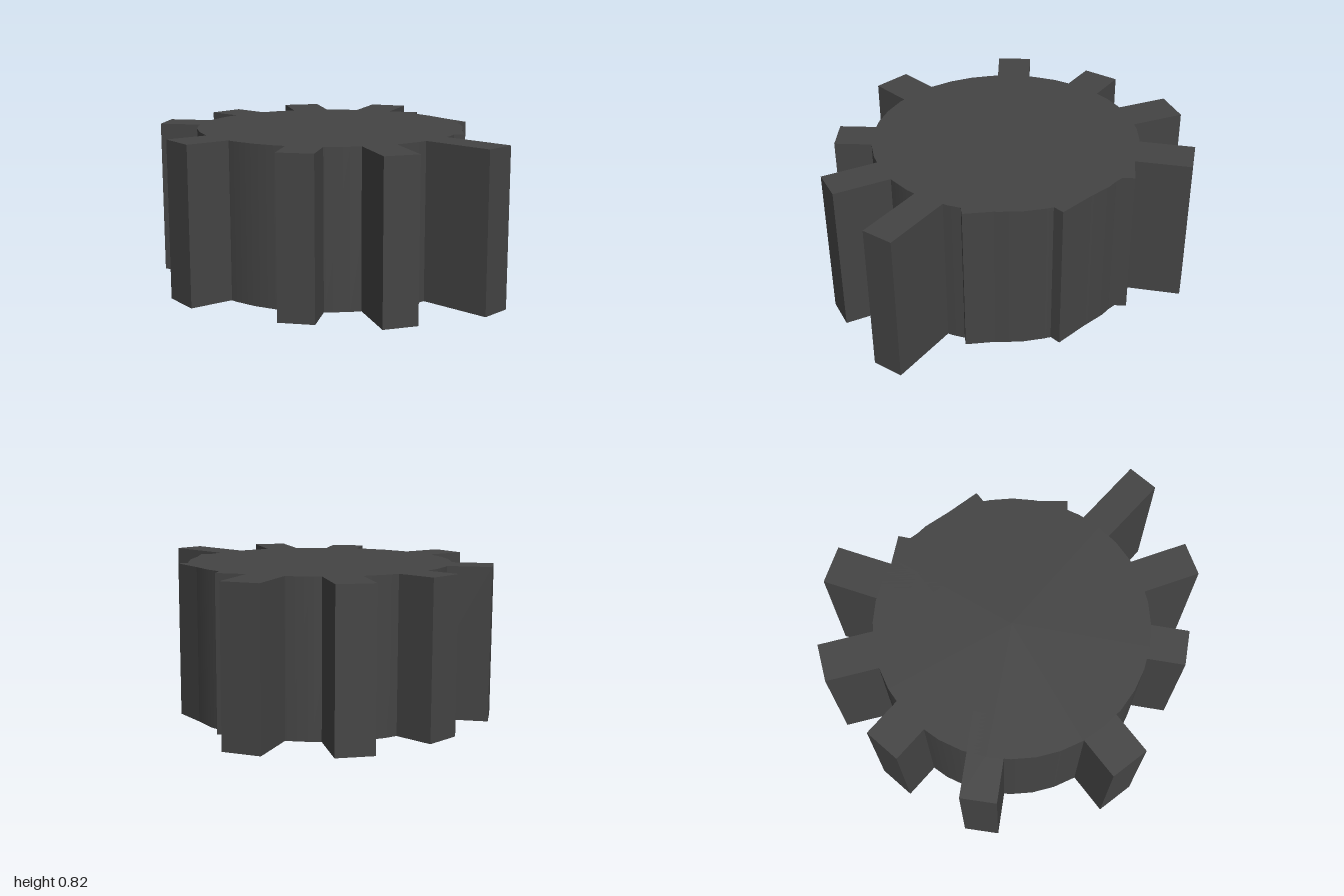
import * as THREE from 'three';

const HEIGHT = 0.82;

export function createModel() {
  const model = new THREE.Group();
  const material = new THREE.MeshStandardMaterial({ color: 0x444444 });

  // Round hub, slightly off centre
  const hub = new THREE.Mesh(new THREE.CylinderGeometry(0.71, 0.71, HEIGHT, 36), material);
  hub.name = 'hub';
  hub.position.set(-0.065, HEIGHT / 2, 0.045);
  model.add(hub);

  // Upright block: middle of its outer face, direction inward, width and depth
  function addBlock(name, [x, z], [dx, dz], width, depth) {
    const length = Math.hypot(dx, dz);
    const ux = dx / length, uz = dz / length;
    const block = new THREE.Mesh(new THREE.BoxGeometry(width, HEIGHT, depth), material);
    block.name = name;
    block.position.set(x + ux * depth / 2, HEIGHT / 2, z + uz * depth / 2);
    block.rotation.y = Math.atan2(ux, uz);
    model.add(block);
  }

  // Gear teeth, running clockwise from the front right
  const teeth = [
    [[0.96, 0.415], [-0.355, -0.14], 0.17],
    [[0.6, 0.8], [-0.18, -0.215], 0.18],
    [[0.12, 0.925], [-0.035, -0.185], 0.185],
    [[-0.55, 0.84], [0.125, -0.2], 0.21],
    [[-0.98, 0.21], [0.235, -0.05], 0.185],
    [[-0.89, -0.33], [0.18, 0.068], 0.2],
    [[-0.6, -0.78], [0.14, 0.2], 0.2],
    [[-0.086, -0.95], [0.008, 0.25], 0.205],
  ];
  teeth.forEach(([outer, inward, width], i) =>
    addBlock('tooth' + (i + 1), outer, inward, width, 0.44));

  // Wide flat blocks standing just proud of the hub
  addBlock('backPanel', [0.345, -0.527], [-0.32, 0.51], 0.52, 0.32);
  addBlock('sidePanel', [0.612, -0.128], [-0.78, 0.29], 0.445, 0.32);
  addBlock('backRib', [0.1, -0.67], [0.05, 0.32], 0.175, 0.3);

  return model;
}
